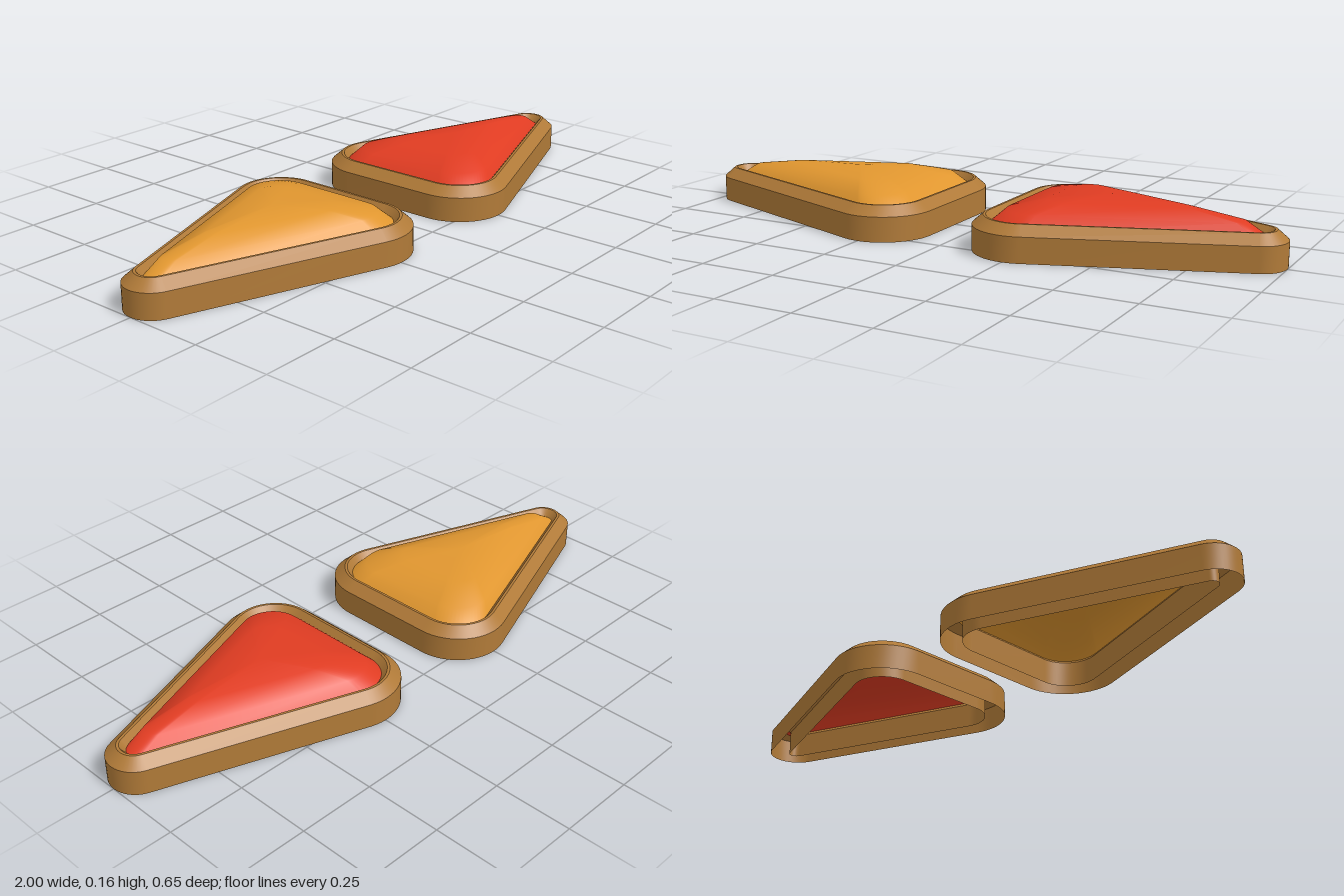
import * as THREE from 'three';
import { mergeGeometries } from 'three/addons/utils/BufferGeometryUtils.js';

const material = (name, color) => {
  const m = new THREE.MeshStandardMaterial({ color, side: THREE.DoubleSide });
  m.name = name;
  return m;
};

// Rounded triangle pointing along x: [centre x, centre z, radius, start and end angle in degrees]
const CORNERS = [
  [0.911, 0, 0.089, -70, 70],
  [0.248, 0.163, 0.162, 70, 180],
  [0.248, -0.163, 0.162, 180, 290],
];
const ARC_STEPS = 16;
const CENTRE_X = 0.45;

// One closed ring of the outline, moved inward by inset and scaled about the middle
function ring(side, inset, y, scale = 1) {
  const points = [];
  for (const [cx, cz, r, a0, a1] of CORNERS) {
    for (let i = 0; i <= ARC_STEPS; i++) {
      const a = THREE.MathUtils.degToRad(a0 + (a1 - a0) * i / ARC_STEPS);
      const x = cx + (r - inset) * Math.cos(a);
      const z = cz + (r - inset) * Math.sin(a);
      points.push([side * (CENTRE_X + (x - CENTRE_X) * scale), y, z * scale]);
    }
  }
  return side > 0 ? points : points.reverse();
}

// Smooth surface through the rings, closed by an apex point if given
function loft(rings, apex) {
  const n = rings[0].length;
  const points = rings.flat();
  const index = [];
  for (let k = 0; k < rings.length - 1; k++) {
    for (let i = 0; i < n; i++) {
      const a = k * n + i, a2 = k * n + (i + 1) % n;
      index.push(a, a + n, a2, a2, a + n, a2 + n);
    }
  }
  if (apex) {
    const top = points.length, base = top - n;
    points.push(apex);
    for (let i = 0; i < n; i++) index.push(base + i, top, base + (i + 1) % n);
  }
  const g = new THREE.BufferGeometry();
  g.setAttribute('position', new THREE.Float32BufferAttribute(points.flat(), 3));
  g.setIndex(index);
  g.computeVertexNormals();
  return g;
}

// Frame section as [inset, height]: outer wall, bevel, flat rim, inner bevel, inner wall
const FRAME_PROFILE = [[0, 0], [0, 0.08], [0.034, 0.11], [0.042, 0.11], [0.066, 0.08], [0.066, 0]];

function frameGeometry(side) {
  const bands = [];
  for (let k = 0; k < FRAME_PROFILE.length - 1; k++) {
    bands.push(loft([ring(side, ...FRAME_PROFILE[k]), ring(side, ...FRAME_PROFILE[k + 1])]));
  }
  return mergeGeometries(bands);
}

// Low domed lens tucked under the rim
function lensGeometry(side) {
  const rings = [[1, 0.08], [0.85, 0.125], [0.52, 0.15]].map(([s, y]) => ring(side, 0.05, y, s));
  return loft(rings, [side * CENTRE_X, 0.162, 0]);
}

export function createModel() {
  const model = new THREE.Group();
  model.name = 'pairOfTriangularLights';
  const brass = material('brass', 0xb07a38);
  const lenses = { 1: material('redLens', 0xe03c22), [-1]: material('amberLens', 0xe0962f) };

  for (const side of [1, -1]) {
    const light = new THREE.Group();
    light.name = side > 0 ? 'leftLight' : 'rightLight';
    const frame = new THREE.Mesh(frameGeometry(side), brass);
    frame.name = 'frame';
    const lens = new THREE.Mesh(lensGeometry(side), lenses[side]);
    lens.name = 'lens';
    light.add(frame, lens);
    model.add(light);
  }
  return model;
}
